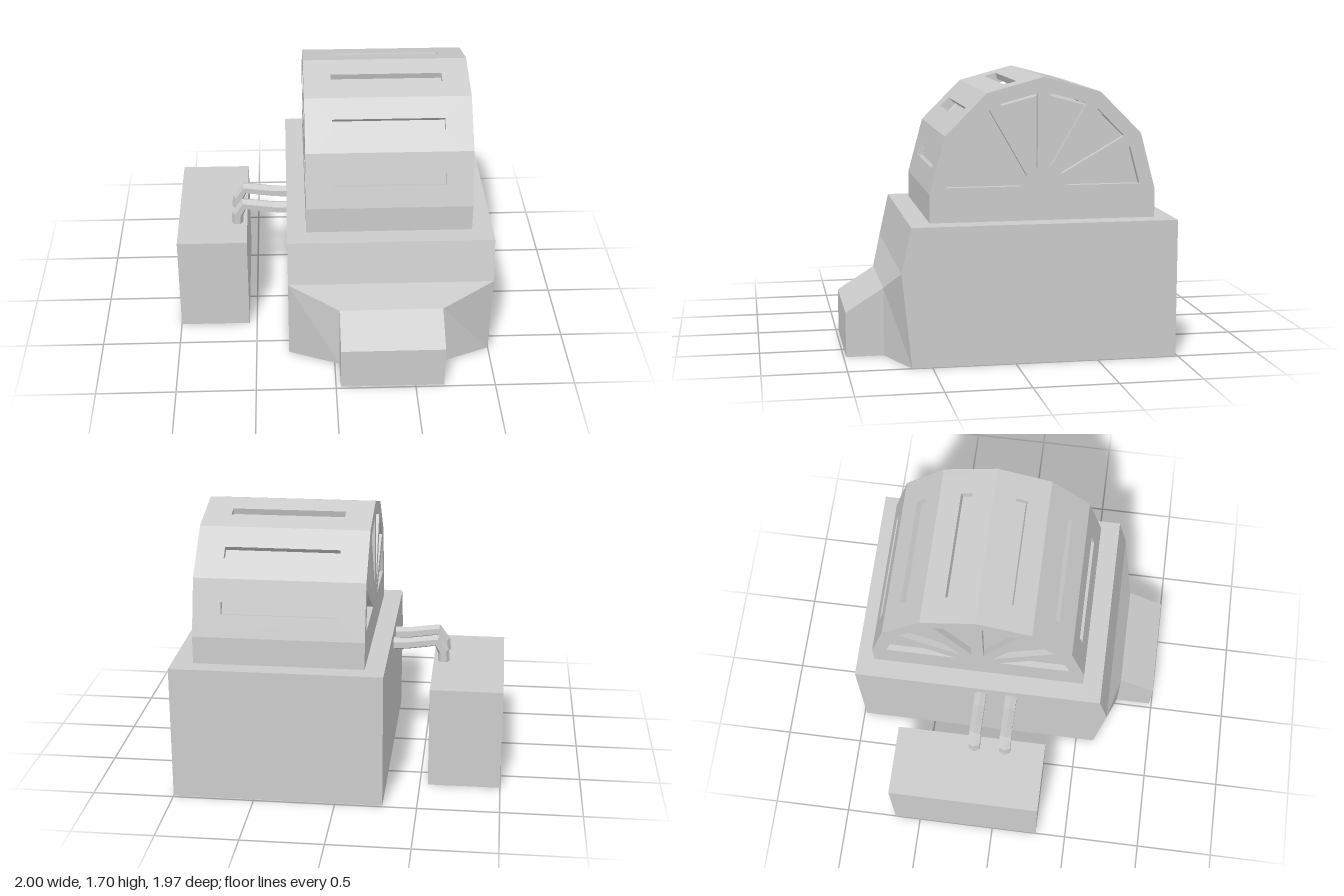
import * as THREE from 'three';

const material = new THREE.MeshStandardMaterial({ color: 0xcccccc, flatShading: true });
const rad = THREE.MathUtils.degToRad;

function add(parent, name, geometry, x = 0, y = 0, z = 0) {
  const mesh = new THREE.Mesh(geometry, material);
  mesh.name = name;
  mesh.position.set(x, y, z);
  parent.add(mesh);
  return mesh;
}

// Polygons (lists of corner indices) to a faceted geometry
function fromPolygons(points, polygons) {
  const index = [];
  for (const p of polygons)
    for (let i = 1; i < p.length - 1; i++) index.push(p[0], p[i], p[i + 1]);
  const g = new THREE.BufferGeometry();
  g.setAttribute('position', new THREE.Float32BufferAttribute(points.flat(), 3));
  g.setIndex(index);
  const flat = g.toNonIndexed();
  flat.computeVertexNormals();
  return flat;
}

// Main housing with chamfered front corners and a sloping nose
function bodyGeometry() {
  const half = (side, inner) => [
    [side, 0, -0.985], [side, 0.84, -0.985], [side, 0.84, 0.62],
    [side, 0.57, 0.68], [side, 0, 0.62],
    [inner, 0.42, 0.755], [inner, 0, 0.755],
    [inner, 0.275, 0.985], [inner, 0, 0.985],
  ];
  const points = [...half(-0.29, 0.03), ...half(1, 0.68)];
  const polygons = [];
  // side, front corner and nose cheek, mirrored
  for (const face of [[0, 1, 2, 3, 4], [4, 3, 5, 6], [6, 5, 7, 8]]) {
    polygons.push(face.map(i => i + 9), [...face].reverse());
  }
  // strip across the width: bottom, nose, front, top, back
  const loop = [0, 4, 6, 8, 7, 5, 3, 2, 1];
  loop.forEach((k, i) => {
    const n = loop[(i + 1) % loop.length];
    polygons.push([k, k + 9, n + 9, n]);
  });
  return fromPolygons(points, polygons);
}

// Half a twelve-sided outline on a straight foot
function drumShape(radius, drop, foot) {
  const pts = [new THREE.Vector2(radius, foot)];
  for (let a = 0; a <= 180; a += 30)
    pts.push(new THREE.Vector2(radius * Math.cos(rad(a)), radius * Math.sin(rad(a)) - drop));
  pts.push(new THREE.Vector2(-radius, foot));
  return new THREE.Shape(pts);
}

// Extrude a z-y outline along x, centred
function extrudeAcross(shape, width) {
  return new THREE.ExtrudeGeometry(shape, { depth: width, bevelEnabled: false })
    .translate(0, 0, -width / 2).rotateY(-Math.PI / 2);
}

function rectangle(Type, w, h) {
  return new Type([[-w, -h], [w, -h], [w, h], [-w, h]]
    .map(([x, y]) => new THREE.Vector2(x / 2, y / 2)));
}

function createDrum() {
  const drum = new THREE.Group();
  drum.name = 'drum';
  drum.position.set(0.35, 1.01, -0.19);
  const R = 0.685, W = 1.04, T = 0.04, foot = -0.17;
  const apothem = R * Math.cos(rad(15)), edge = 2 * R * Math.sin(rad(15));

  // end plates with a fan of triangular windows
  const plate = drumShape(R, 0, foot);
  for (let a = 15; a < 180; a += 30) {
    const at = (r, deg) => new THREE.Vector2(r * Math.cos(rad(deg)), r * Math.sin(rad(deg)));
    plate.holes.push(new THREE.Path([at(0.145, a), at(0.59, a - 11.4), at(0.59, a + 11.4)]));
  }
  const plateGeometry = extrudeAcross(plate, T);
  for (const s of [-1, 1]) add(drum, 'endPlate', plateGeometry, s * (W - T) / 2);

  // slotted roof panels
  const panel = rectangle(THREE.Shape, W - 2 * T, edge);
  panel.holes.push(rectangle(THREE.Path, 0.7, 0.075));
  const panelGeometry = new THREE.ExtrudeGeometry(panel, { depth: T, bevelEnabled: false })
    .translate(0, 0, apothem - T);
  for (let a = 15; a < 180; a += 30) add(drum, 'roofPanel', panelGeometry).rotation.x = -rad(a);

  // straight walls under the roof
  for (const s of [-1, 1])
    add(drum, 'footWall', new THREE.BoxGeometry(W - 2 * T, -foot, T), 0, foot / 2, s * (R - T / 2));

  // inner core seen through the openings
  add(drum, 'core', extrudeAcross(drumShape(0.64, 0.06, foot), W - 2 * T));
  return drum;
}

// Six-sided pipe from pairs of upper and lower outline points
function pipeGeometry() {
  const stations = [
    [-0.655, 0.62, -0.575, 0.62], [-0.645, 0.72, -0.575, 0.69],
    [-0.58, 0.81, -0.555, 0.74], [-0.52, 0.805, -0.52, 0.73],
    [-0.38, 0.785, -0.38, 0.71], [-0.27, 0.785, -0.27, 0.70],
  ];
  const points = [], polygons = [];
  stations.forEach(([tx, ty, bx, by], s) => {
    for (let i = 0; i < 6; i++) {
      const c = Math.cos(i * Math.PI / 3) / 2, n = Math.sin(i * Math.PI / 3);
      points.push([(tx + bx) / 2 + (tx - bx) * c, (ty + by) / 2 + (ty - by) * c, 0.043 * n]);
      if (s > 0) {
        const j = (i + 1) % 6, p = (s - 1) * 6, q = s * 6;
        polygons.push([p + i, p + j, q + j, q + i]);
      }
    }
  });
  return fromPolygons(points, polygons);
}

export function createModel() {
  const model = new THREE.Group();
  model.name = 'machine';
  add(model, 'body', bodyGeometry());
  model.add(createDrum());
  add(model, 'sideTank', new THREE.BoxGeometry(0.45, 0.64, 0.97), -0.775, 0.32, -0.185);
  const pipe = pipeGeometry();
  for (const z of [-0.16, 0.04]) add(model, 'pipe', pipe, 0, 0, z);
  return model;
}
